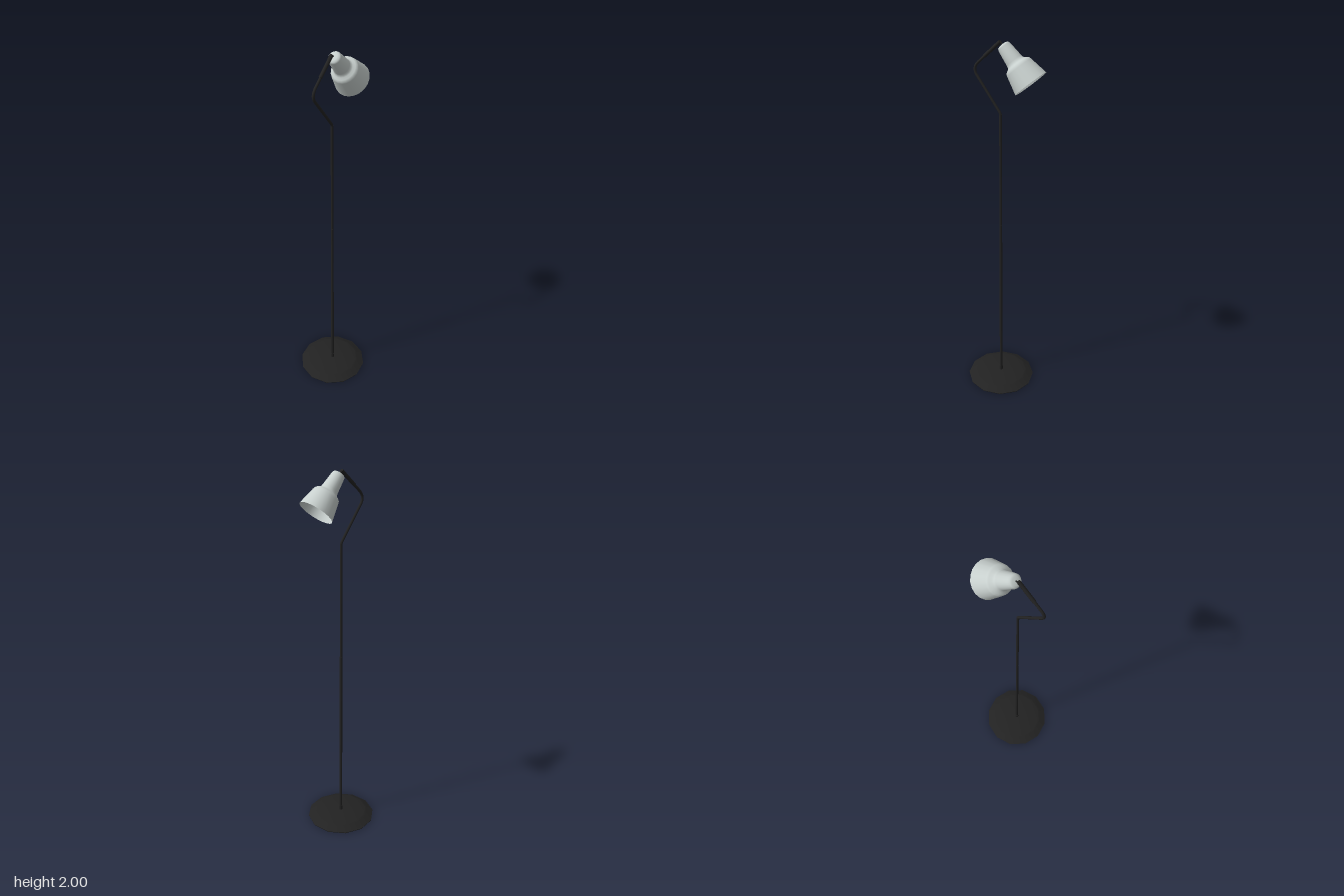
import * as THREE from 'three';
import { toCreasedNormals } from 'three/addons/utils/BufferGeometryUtils.js';

const POLE_X = -0.02;
const black = new THREE.MeshStandardMaterial({ color: 0x222222 });
const pale = new THREE.MeshStandardMaterial({ color: 0xc8d0ce, side: THREE.DoubleSide });
const v = (x, y) => new THREE.Vector3(x, y, 0);
const profile = (pairs) => pairs.map(([r, y]) => new THREE.Vector2(r, y));

function add(group, name, geometry, material) {
  const mesh = new THREE.Mesh(geometry, material);
  mesh.name = name;
  group.add(mesh);
  return mesh;
}

// Capped round bar between two points
function bar(group, name, a, b, radius, sides = 10) {
  const dir = b.clone().sub(a);
  const mesh = add(group, name, new THREE.CylinderGeometry(radius, radius, dir.length(), sides), black);
  mesh.position.copy(a).add(b).multiplyScalar(0.5);
  mesh.quaternion.setFromUnitVectors(new THREE.Vector3(0, 1, 0), dir.normalize());
  return mesh;
}

export function createModel() {
  const lamp = new THREE.Group();
  lamp.name = 'floorLamp';

  // Twelve-sided weighted base with a thin lip and bevelled edge
  const baseGeometry = new THREE.LatheGeometry(profile([
    [0, 0], [0.19, 0], [0.191, 0.004], [0.184, 0.007], [0.154, 0.026], [0.143, 0.03], [0, 0.031],
  ]), 12, THREE.MathUtils.degToRad(-4));
  add(lamp, 'base', toCreasedNormals(baseGeometry, 0.6), black).position.x = POLE_X;

  // Two-section pole with a collar at the foot
  bar(lamp, 'poleCollar', v(POLE_X, 0.03), v(POLE_X, 0.056), 0.01, 12);
  bar(lamp, 'lowerPole', v(POLE_X, 0.03), v(POLE_X, 1.02), 0.0078);
  bar(lamp, 'upperPole', v(POLE_X, 1.02), v(POLE_X, 1.636), 0.0068);

  // Bent arm: tight bend at the pole, round elbow, then up to the shade
  const tip = v(-0.021, 1.991);
  const path = new THREE.CurvePath();
  path.add(new THREE.QuadraticBezierCurve3(v(POLE_X, 1.63), v(POLE_X, 1.64), v(-0.026, 1.648)));
  path.add(new THREE.LineCurve3(v(-0.026, 1.648), v(-0.148, 1.812)));
  path.add(new THREE.QuadraticBezierCurve3(v(-0.148, 1.812), v(-0.174, 1.847), v(-0.14, 1.88)));
  path.add(new THREE.LineCurve3(v(-0.14, 1.88), tip));
  add(lamp, 'arm', new THREE.TubeGeometry(path, 90, 0.0068, 10), black);

  // Grip sleeve on the arm and the pin that holds the shade
  bar(lamp, 'armSleeve', v(-0.105, 1.913), tip, 0.009, 12);
  bar(lamp, 'shadePin', v(-0.022, 1.99), v(-0.004, 1.975), 0.0028, 8);

  // Stepped shade: narrow neck, rounded shoulder, flared open mouth
  const shade = new THREE.Group();
  shade.name = 'shade';
  const shell = profile([
    [0, 0], [0.018, 0.001], [0.028, 0.005], [0.033, 0.013], [0.042, 0.092], [0.044, 0.102],
    [0.05, 0.11], [0.06, 0.116], [0.067, 0.123], [0.07, 0.133], [0.0895, 0.224],
  ]).map((p) => new THREE.Vector2(p.x, -p.y)).reverse();
  add(shade, 'shadeShell', new THREE.LatheGeometry(shell, 20), pale);
  shade.position.set(-0.009, 1.979, 0);
  shade.quaternion.setFromUnitVectors(new THREE.Vector3(0, -1, 0), v(0.67, -0.742).normalize());
  lamp.add(shade);

  return lamp;
}
